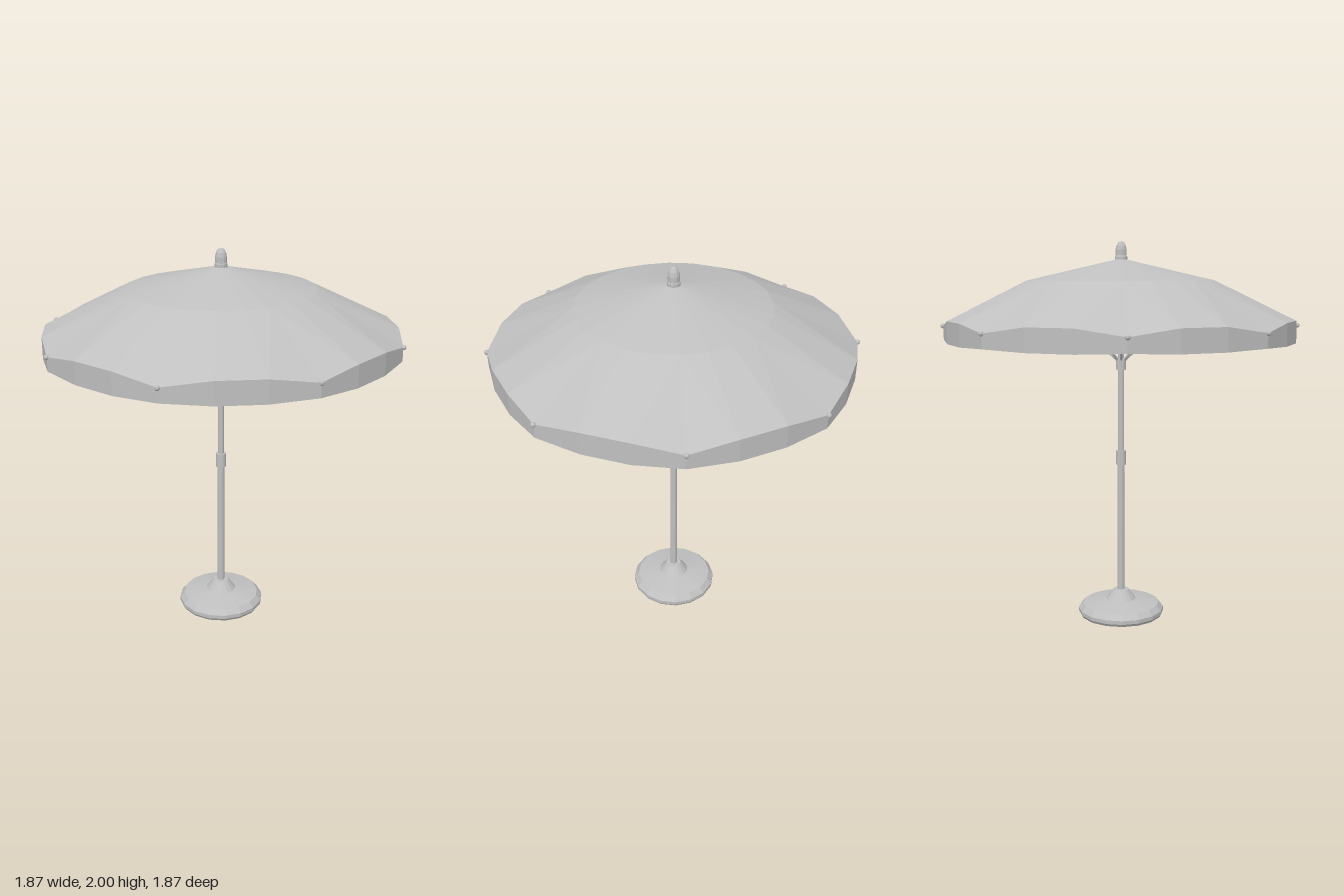
import * as THREE from 'three';

const RIBS = 8, STEPS = 3, SIDES = RIBS * STEPS;

const grey = new THREE.MeshStandardMaterial({ color: 0xc0c0c0, flatShading: true });
grey.name = 'plain grey';
const cloth = new THREE.MeshStandardMaterial({ color: 0xc0c0c0, flatShading: true, side: THREE.DoubleSide });
cloth.name = 'plain grey cloth';

// Faceted skin between rings; each ring maps (angle, isRib) to a radius and height
function skin(rings) {
  const pos = [];
  const point = ([r, y], k) => {
    const a = (k / SIDES) * Math.PI * 2;
    return [Math.sin(a) * r, y, Math.cos(a) * r];
  };
  for (let i = 0; i < rings.length - 1; i++) {
    for (let k = 0; k < SIDES; k++) {
      const at = (ring, n) => point(rings[ring](n % STEPS === 0), n);
      const a = at(i, k), b = at(i, k + 1), c = at(i + 1, k), d = at(i + 1, k + 1);
      // split so the diagonals mirror about each rib
      if (k % STEPS === 0) pos.push(...a, ...c, ...d, ...a, ...d, ...b);
      else pos.push(...a, ...c, ...b, ...b, ...c, ...d);
    }
  }
  const g = new THREE.BufferGeometry();
  g.setAttribute('position', new THREE.Float32BufferAttribute(pos, 3));
  g.computeVertexNormals();
  return g;
}

function lathe(points, sides) {
  return new THREE.LatheGeometry(points.map(([x, y]) => new THREE.Vector2(x, y)), sides);
}

// Thin rod between two points
function rod(from, to, radius) {
  const a = new THREE.Vector3(...from), b = new THREE.Vector3(...to);
  const dir = b.clone().sub(a);
  const g = new THREE.CylinderGeometry(radius, radius, dir.length(), 6);
  g.applyQuaternion(new THREE.Quaternion().setFromUnitVectors(new THREE.Vector3(0, 1, 0), dir.normalize()));
  const mid = a.add(b).multiplyScalar(0.5);
  return g.translate(mid.x, mid.y, mid.z);
}

export function createModel() {
  const model = new THREE.Group();
  model.name = 'parasol';
  const add = (name, geometry, material = grey, parent = model) => {
    const mesh = new THREE.Mesh(geometry, material);
    mesh.name = name;
    parent.add(mesh);
    return mesh;
  };

  // Weighted foot with a raised collar
  add('base', lathe([[0, 0], [0.22, 0], [0.23, 0.015], [0.23, 0.035], [0.205, 0.064],
    [0.08, 0.085], [0.04, 0.138], [0, 0.138]], 16));

  // Two-part pole with its clamp
  add('lowerPole', new THREE.CylinderGeometry(0.019, 0.019, 0.74, 10).translate(0, 0.5, 0));
  add('upperPole', new THREE.CylinderGeometry(0.016, 0.016, 1.04, 10).translate(0, 1.38, 0));
  add('poleClamp', new THREE.CylinderGeometry(0.027, 0.027, 0.076, 10).translate(0, 0.867, 0));

  // Sliding runner and fixed top hub
  add('runner', lathe([[0, 1.337], [0.026, 1.337], [0.026, 1.385], [0.031, 1.385],
    [0.031, 1.398], [0, 1.398]], 10));
  add('topHub', new THREE.CylinderGeometry(0.03, 0.03, 0.03, 10).translate(0, 1.87, 0));

  // Canopy roof and hanging valance
  const rim = (rib) => (rib ? [0.922, 1.567] : [0.9, 1.602]);
  const hem = (rib) => (rib ? [0.922, 1.496] : [0.9, 1.489]);
  add('canopy', skin([() => [0.002, 1.912], () => [0.487, 1.8], rim]), cloth);
  add('valance', skin([rim, hem]), cloth);

  // Ribs, struts and rib tips
  for (let i = 0; i < RIBS; i++) {
    const arm = new THREE.Group();
    arm.name = 'ribArm' + (i + 1);
    arm.rotation.y = (i / RIBS) * Math.PI * 2;
    add('innerRib', rod([0.02, 1.89, 0], [0.48, 1.787, 0], 0.007), grey, arm);
    add('outerRib', rod([0.48, 1.787, 0], [0.918, 1.56, 0], 0.007), grey, arm);
    add('strut', rod([0.022, 1.388, 0], [0.46, 1.787, 0], 0.006), grey, arm);
    add('ribTip', new THREE.SphereGeometry(0.013, 8, 6).translate(0.924, 1.567, 0), grey, arm);
    model.add(arm);
  }

  // Bullet-shaped finial
  add('finial', lathe([[0, 1.905], [0.033, 1.905], [0.033, 1.922], [0.03, 1.925], [0.03, 1.955],
    [0.025, 1.977], [0.015, 1.994], [0, 2]], 12));

  return model;
}
